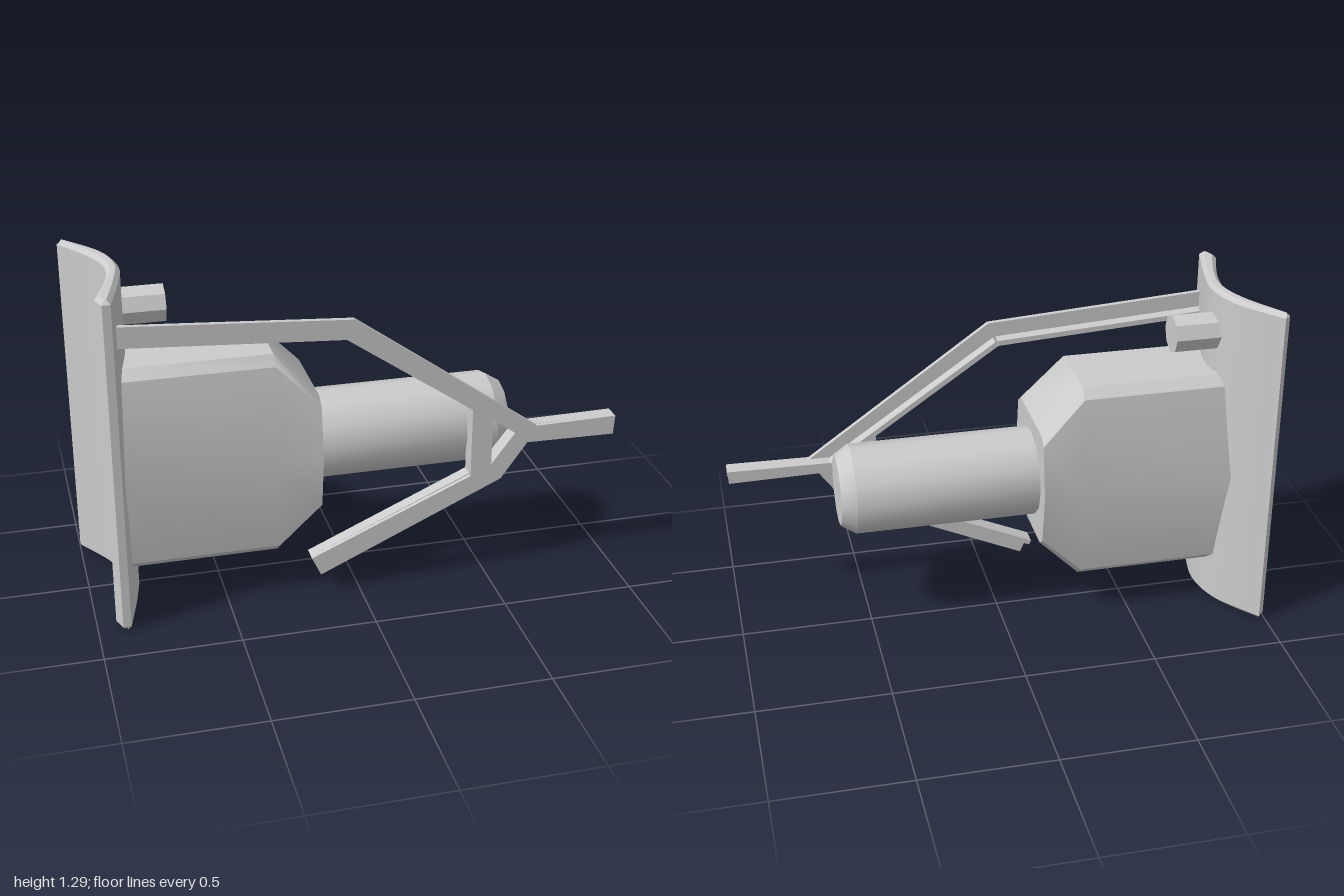
import * as THREE from 'three';
import { toCreasedNormals } from 'three/addons/utils/BufferGeometryUtils.js';

const CY = 0.57, CZ = 0.035; // axis of the body and barrel

function part(parent, name, geometry, flat = false) {
  const mesh = new THREE.Mesh(
    geometry, new THREE.MeshStandardMaterial({ color: 0xcccccc, flatShading: flat }));
  mesh.name = name;
  parent.add(mesh);
  return mesh;
}

// Symmetric ten-sided body section: [height, depth] offsets from the axis
function section(topY, topZ, shoulderY, shoulderZ) {
  const half = [[topY, topZ], [shoulderY, shoulderZ], [0, 0.235], [-shoulderY, shoulderZ], [-topY, topZ]];
  return [...half, ...half.map(([y, z]) => [y, -z]).reverse()];
}

// Skins rings of points running along +x and closes the last one
function loft(rings) {
  const pos = [];
  const n = rings[0].length;
  const last = rings[rings.length - 1];
  for (let i = 0; i < rings.length - 1; i++) {
    for (let j = 0; j < n; j++) {
      const k = (j + 1) % n;
      const a = rings[i][j], b = rings[i][k], c = rings[i + 1][k], d = rings[i + 1][j];
      pos.push(...a, ...b, ...c, ...a, ...c, ...d);
    }
  }
  for (let j = 0; j < n; j++) pos.push(last[0][0], CY, CZ, ...last[j], ...last[(j + 1) % n]);
  const g = new THREE.BufferGeometry();
  g.setAttribute('position', new THREE.Float32BufferAttribute(pos, 3));
  return toCreasedNormals(g, 0.6);
}

// Curved plate, bent in plan and extruded upward with a small bevel
function plateGeometry() {
  const v = (x, z) => new THREE.Vector2(x, -z);
  const s = new THREE.Shape();
  s.moveTo(-0.91, 0.335 * -1);
  s.lineTo(-0.88, -0.335);
  s.splineThru([v(-0.83, 0.13), v(-0.81, -0.02), v(-0.85, -0.17), v(-0.975, -0.335)]);
  s.lineTo(-1, 0.31);
  s.splineThru([v(-0.9, -0.15), v(-0.86, -0.02), v(-0.875, 0.11), v(-0.93, 0.285)]);
  s.closePath();
  const bevel = 0.015;
  const g = new THREE.ExtrudeGeometry(s, {
    depth: 1.29 - 2 * bevel, curveSegments: 14, bevelEnabled: true,
    bevelSize: bevel, bevelOffset: -bevel, bevelThickness: bevel, bevelSegments: 1,
  });
  g.rotateX(-Math.PI / 2).translate(0, bevel, 0);
  return toCreasedNormals(g, 0.5);
}

const polygon = (points, Type = THREE.Shape) =>
  new Type(points.map(([x, y]) => new THREE.Vector2(x, y)));

// Angle-iron flange strip from a to b; side +1 lies left of the direction
function flange(parent, a, b, side) {
  const dx = b[0] - a[0], dy = b[1] - a[1], len = Math.hypot(dx, dy), t = 0.02;
  const g = new THREE.BoxGeometry(len, t, 0.05);
  g.translate(len / 2, side * t / 2, 0).rotateZ(Math.atan2(dy, dx)).translate(a[0], a[1], 0.214);
  part(parent, 'strutFlange', g, true);
}

export function createModel() {
  const model = new THREE.Group();
  model.name = 'mountedUnit';

  part(model, 'curvedPlate', plateGeometry());

  // Body: follows the plate at its root, slopes in above and below at its end
  const full = section(0.4, 0.14, 0.365, 0.18);
  const end = section(0.23, 0.165, 0.2, 0.205);
  const place = (pts, x) => pts.map(([y, z]) => [x(z), CY + y, CZ + z]);
  part(model, 'body', loft([
    place(full, (z) => -0.84 - 0.6 * z * z),
    place(full, () => -0.3),
    place(end, () => -0.14),
  ]));

  // Barrel with a chamfered end
  const profile = [[0.17, -0.2], [0.17, 0.55], [0.135, 0.605], [0, 0.605]]
    .map(([r, y]) => new THREE.Vector2(r, y));
  const barrel = new THREE.LatheGeometry(profile, 12);
  barrel.rotateZ(-Math.PI / 2).translate(0, CY, CZ);
  part(model, 'barrel', toCreasedNormals(barrel, 0.55));

  // Octagonal pin on the plate
  const pin = new THREE.CylinderGeometry(0.073, 0.073, 0.19, 8);
  pin.rotateZ(-Math.PI / 2).translate(-0.75, 1.12, -0.037);
  part(model, 'pin', pin, true);

  // Forked strut: flat web with a triangular opening
  const strut = new THREE.Group();
  strut.name = 'forkedStrut';
  model.add(strut);
  const web = polygon([
    [-0.86, 1.08], [-0.05, 1.03], [0.43, 0.7], [0.43, 0.425], [-0.185, 0.155], [-0.15, 0.08],
    [0.55, 0.4], [0.65, 0.54], [0.995, 0.535], [1, 0.61], [0.685, 0.605],
    [-0.02, 1.105], [-0.86, 1.16],
  ]);
  web.holes.push(polygon([[0.51, 0.65], [0.6, 0.585], [0.51, 0.465]], THREE.Path));
  const webGeometry = new THREE.ExtrudeGeometry(web, { depth: 0.02, bevelEnabled: false });
  part(strut, 'strutWeb', webGeometry.translate(0, 0, 0.235), true);

  // Flanges behind the inner edges of each arm, the post and the tip
  const upper = [[-0.86, 1.08], [-0.05, 1.03], [0.61, 0.577]];
  const lower = [[-0.185, 0.155], [0.51, 0.465], [0.61, 0.595]];
  for (let i = 0; i < 2; i++) {
    flange(strut, upper[i], upper[i + 1], 1);
    flange(strut, lower[i], lower[i + 1], -1);
  }
  flange(strut, [0.43, 0.425], [0.43, 0.7], -1);
  flange(strut, [0.61, 0.605], [1, 0.61], -1);

  return model;
}
